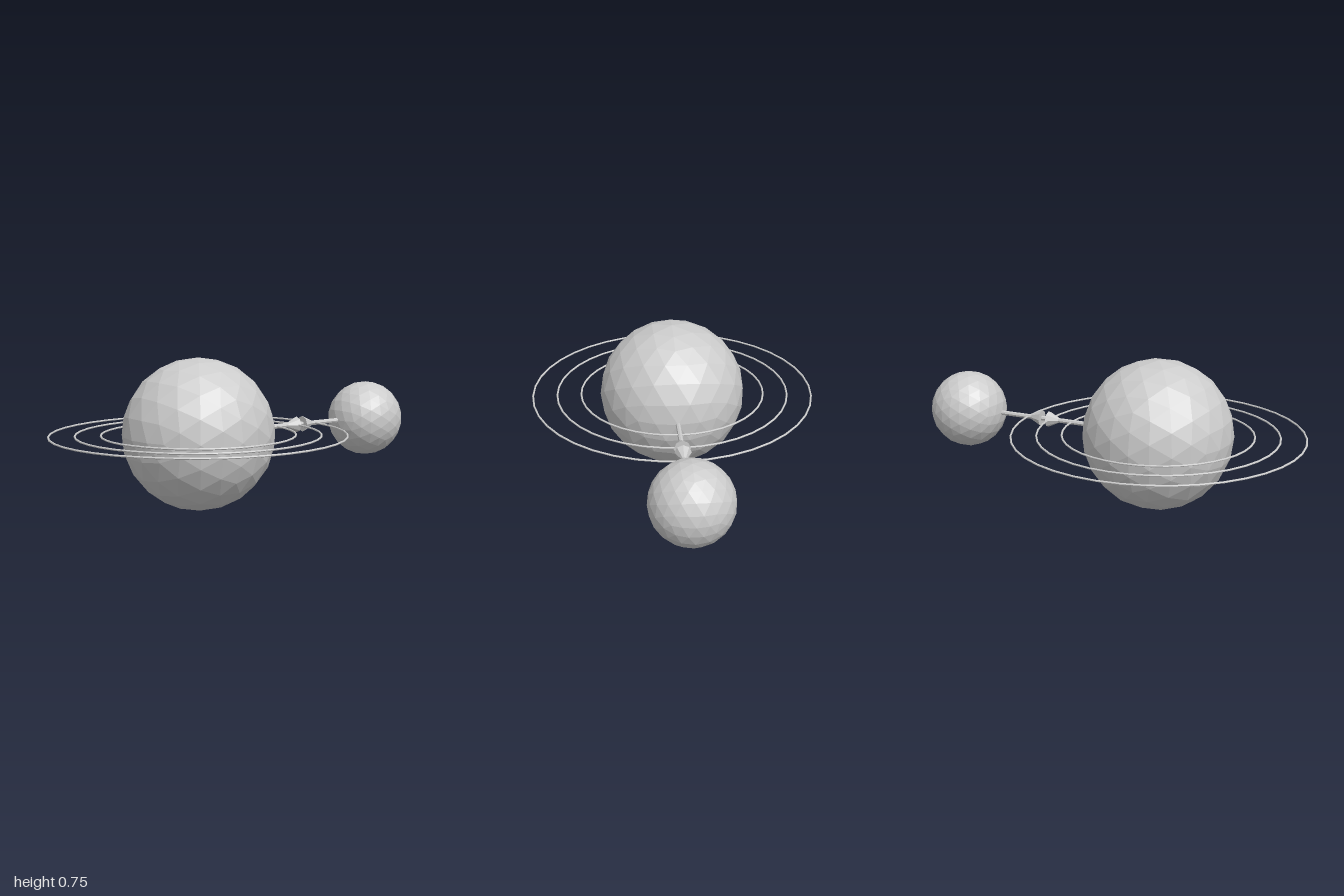
import * as THREE from 'three';

export function createModel() {
  const group = new THREE.Group();
  const material = new THREE.MeshStandardMaterial({ color: 0xcccccc, flatShading: true });
  const Y = 0.374, PLANET_X = -0.273, MOON_X = 0.802;
  const PLANET_R = 0.373, MOON_R = 0.198;

  const add = (name, geometry, x, parent = group) => {
    const mesh = new THREE.Mesh(geometry, material);
    mesh.name = name;
    mesh.position.x = x;
    parent.add(mesh);
    return mesh;
  };

  // Faceted spheres
  add('planet', new THREE.IcosahedronGeometry(PLANET_R, 3), PLANET_X);
  add('moon', new THREE.IcosahedronGeometry(MOON_R, 3), MOON_X);

  // Thin concentric rings lying flat around the planet
  [0.473, 0.597, 0.722].forEach((radius, i) => {
    const ring = new THREE.TorusGeometry(radius, 0.005, 8, 40).rotateX(Math.PI / 2);
    add(`ring${i + 1}`, ring, PLANET_X);
  });

  // Two overlapping arrows, each leaving one sphere and pointing at the other
  const headLength = 0.087;
  const addArrow = (name, start, base) => {
    const dir = Math.sign(base - start);
    const arrow = new THREE.Group();
    arrow.name = name;
    const shaft = new THREE.CylinderGeometry(0.0125, 0.0125, Math.abs(base - start), 8);
    const head = new THREE.ConeGeometry(0.041, headLength, 8);
    add(name + 'Shaft', shaft.rotateZ(-dir * Math.PI / 2), (start + base) / 2, arrow);
    add(name + 'Head', head.rotateZ(-dir * Math.PI / 2), base + dir * headLength / 2, arrow);
    group.add(arrow);
  };
  addArrow('planetArrow', PLANET_X + PLANET_R, 0.369);
  addArrow('moonArrow', MOON_X - MOON_R, 0.331);

  group.children.forEach((part) => { part.position.y = Y; });
  return group;
}
